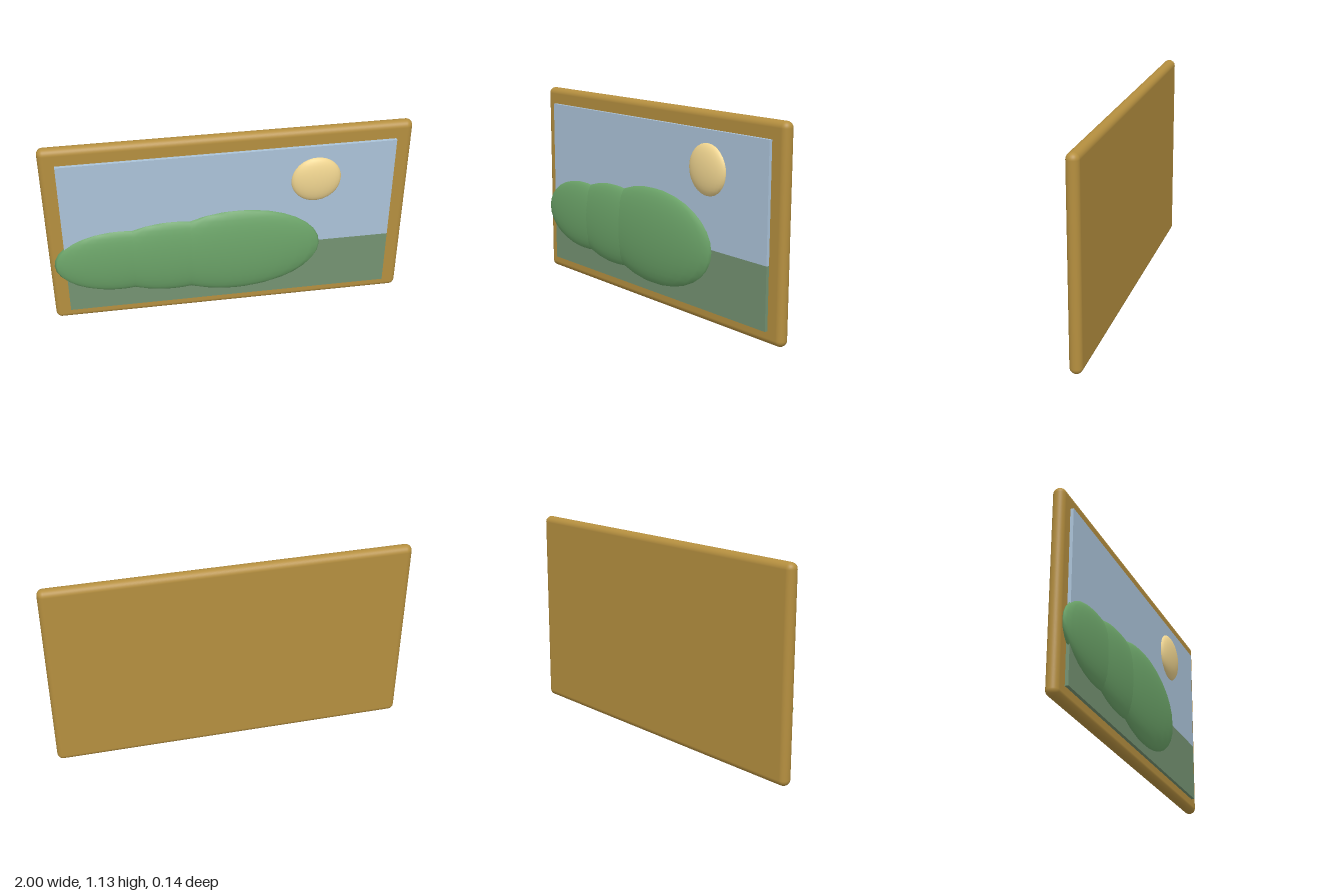
import * as THREE from 'three';
import { RoundedBoxGeometry } from 'three/addons/geometries/RoundedBoxGeometry.js';

export function createModel() {
  const model = new THREE.Group();
  model.name = 'framedLandscape';

  const add = (name, geometry, color, x, y, z) => {
    const mesh = new THREE.Mesh(geometry, new THREE.MeshStandardMaterial({ color }));
    mesh.name = name;
    mesh.position.set(x, y, z);
    model.add(mesh);
    return mesh;
  };

  // Flattened ellipsoid standing out of the picture
  const relief = (name, color, x, y, z, rx, ry, rz) =>
    add(name, new THREE.SphereGeometry(1, 24, 16), color, x, y, z).scale.set(rx, ry, rz);

  // Rounded backing slab that shows as the frame
  add('frame', new RoundedBoxGeometry(2, 1.13, 0.069, 5, 0.034), 0xb58f3f, 0, 0.565, -0.0375);

  // Picture panel: sky above, meadow below
  add('sky', new THREE.BoxGeometry(1.824, 0.627, 0.03), 0xabc3d9, -0.002, 0.7235, 0);
  add('meadow', new THREE.BoxGeometry(1.824, 0.338, 0.03), 0x749272, -0.002, 0.241, 0);

  // Three overlapping hills, shrinking towards the right side: [x, scale]
  [[0.04, 1], [-0.32, 0.865], [-0.615, 0.75]].forEach(([x, s], i) =>
    relief(`hill${i + 1}`, 0x6ba368, x, 0.394, 0.008, 0.48 * s, 0.273 * s, 0.064 * s));

  relief('sun', 0xf0d590, 0.476, 0.829, 0.011, 0.139, 0.139, 0.044);

  return model;
}
